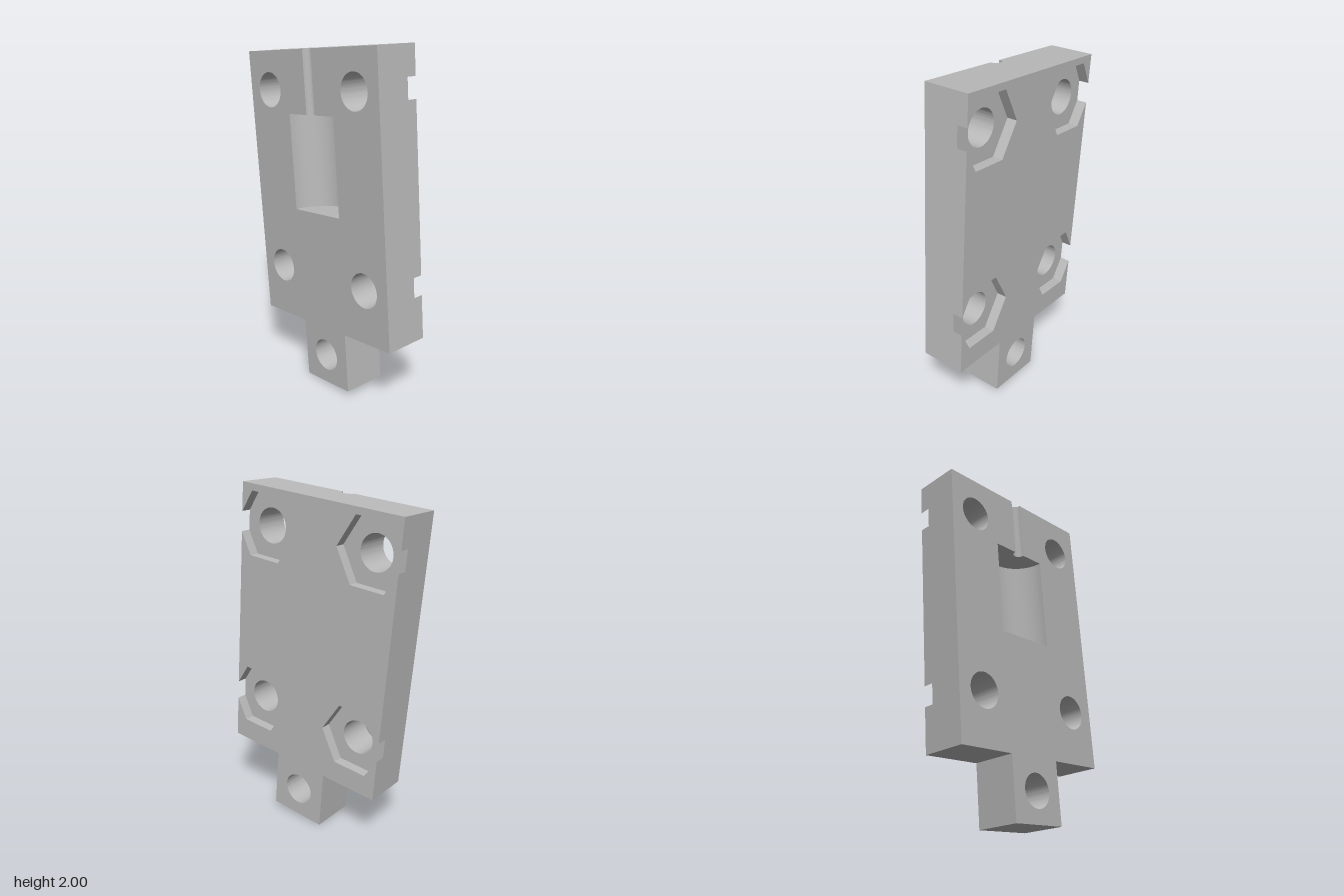
import * as THREE from 'three';
import { toCreasedNormals } from 'three/addons/utils/BufferGeometryUtils.js';

const UNIT = 0.354;
const W = 3 * UNIT, H = 4.5 * UNIT;          // plate size
const MID = W / 2;
const FRONT = 0.133, BACK = -0.133, POCKET = -0.073;
const HOLE_U = [0.177, W - 0.177], HOLE_V = [0.31, 1.372];
const HOLE_R = 0.1, TAB_HOLE_R = 0.095;
const HEX_R = 0.21;                          // nut pocket corner radius
const CHAMBER = { r: 0.186, from: 0.688, to: 1.24 };
const CHANNEL = { r: 0.036, from: 1.24, to: H };

function circle(x, y, r) {
  return new THREE.Path().absarc(x, y, r, 0, Math.PI * 2, true);
}

function extrude(shape, depth) {
  return new THREE.ExtrudeGeometry(shape, { depth, bevelEnabled: false, curveSegments: 40 });
}

// Corner points of the nut pocket that breaks out through the right edge
function pocketNotch(v) {
  const c = HOLE_U[1], h = HEX_R * Math.sqrt(3) / 2, n = (HEX_R - (W - c)) * Math.sqrt(3);
  return [[W, v - n], [c + HEX_R / 2, v - h], [c - HEX_R / 2, v - h], [c - HEX_R, v],
    [c - HEX_R / 2, v + h], [c + HEX_R / 2, v + h], [W, v + n]];
}

// Plate and tab outline, with extra points along the right, top and left edges
function plateShape(right, top, left) {
  const t = UNIT / 2;
  const points = [[0, 0], [MID - t, 0], [MID - t, -UNIT], [MID + t, -UNIT], [MID + t, 0], [W, 0],
    ...right, [W, H], ...top, [0, H], ...left];
  const shape = new THREE.Shape(points.map(([x, y]) => new THREE.Vector2(x, y)));
  shape.holes.push(circle(MID, -UNIT / 2, TAB_HOLE_R));
  return shape;
}

// Block with a half-round trough, running up the plate
function troughGeometry({ r, from, to }) {
  const shape = new THREE.Shape();
  shape.moveTo(-r, -FRONT);
  shape.absarc(0, -FRONT, r, Math.PI, 0, true);
  shape.lineTo(r, -POCKET);
  shape.lineTo(-r, -POCKET);
  shape.closePath();
  return extrude(shape, to - from).rotateX(-Math.PI / 2).translate(MID, from, 0);
}

export function createModel() {
  const model = new THREE.Group();
  model.name = 'mouldHalf';
  const grey = new THREE.MeshStandardMaterial({ color: 0xbababa });
  grey.name = 'grey';

  const add = (name, geometry) => {
    const mesh = new THREE.Mesh(toCreasedNormals(geometry, 0.5), grey);
    mesh.name = name;
    model.add(mesh);
  };

  // Front layer: bolt holes and the keyhole opening for chamber and channel
  const a = CHANNEL.r, b = CHAMBER.r;
  const keyhole = [[MID + a, H], [MID + a, CHAMBER.to], [MID + b, CHAMBER.to], [MID + b, CHAMBER.from],
    [MID - b, CHAMBER.from], [MID - b, CHAMBER.to], [MID - a, CHAMBER.to], [MID - a, H]];
  const frontShape = plateShape([], keyhole, []);
  for (const u of HOLE_U) for (const v of HOLE_V) frontShape.holes.push(circle(u, v, HOLE_R));
  add('frontPlate', extrude(frontShape, FRONT - POCKET).translate(0, 0, POCKET));

  // Half-round chamber and its pouring channel
  add('chamber', troughGeometry(CHAMBER));
  add('channel', troughGeometry(CHANNEL));

  // Back layer: hexagonal nut pockets open to the side edges
  const right = HOLE_V.flatMap(pocketNotch);
  const left = right.map(([x, y]) => [W - x, y]).reverse();
  add('backPlate', extrude(plateShape(right, [], left), POCKET - BACK).translate(0, 0, BACK));

  // The whole piece leans a little
  model.rotation.z = THREE.MathUtils.degToRad(5);
  model.position.set(-0.46, 0.322, 0);
  const root = new THREE.Group();
  root.name = 'leaningMouldHalf';
  root.add(model);
  return root;
}
